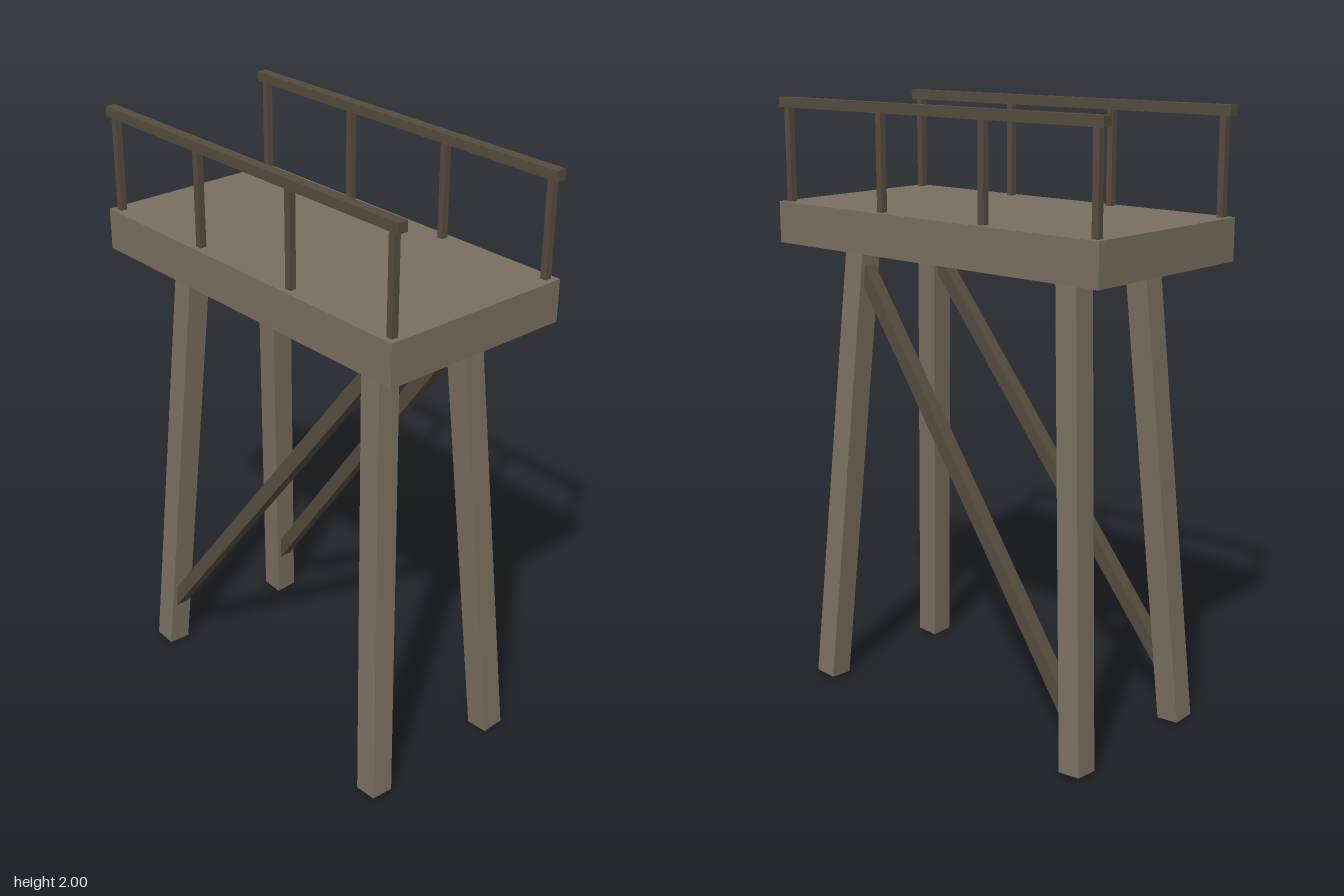
import * as THREE from 'three';

export function createModel() {
  const model = new THREE.Group();
  model.name = 'watchPlatform';

  const wood = new THREE.MeshStandardMaterial({ color: 0x7a7060 });
  wood.name = 'weatheredWood';
  const darkWood = new THREE.MeshStandardMaterial({ color: 0x564c3e });
  darkWood.name = 'darkWood';

  function box(name, material, w, h, d, x, y, z) {
    const mesh = new THREE.Mesh(new THREE.BoxGeometry(w, h, d), material);
    mesh.name = name;
    mesh.position.set(x, y, z);
    model.add(mesh);
    return mesh;
  }

  // Square beam running between two points
  function beam(name, material, size, a, b) {
    const mid = a.clone().add(b).multiplyScalar(0.5);
    const mesh = box(name, material, size, size, a.distanceTo(b), mid.x, mid.y, mid.z);
    mesh.up.set(0, 0, 1);
    mesh.lookAt(b);
  }

  // Centre line of a splayed leg at height y
  const legPoint = (sx, sz, y) =>
    new THREE.Vector3(sx * (0.554 - 0.071 * y), y, sz * (0.257 - 0.059 * y));

  // Deck
  box('deck', wood, 1.33, 0.135, 0.664, 0, 1.5975, 0);

  for (const sz of [1, -1]) {
    const side = sz > 0 ? 'front' : 'back';

    // Splayed legs
    for (const sx of [1, -1]) {
      beam(`${side}${sx > 0 ? 'Left' : 'Right'}Leg`, wood, 0.078,
        legPoint(sx, sz, 0.006), legPoint(sx, sz, 1.56));
    }

    // Diagonal brace from low on the right leg to high on the left leg
    beam(`${side}Brace`, darkWood, 0.046, legPoint(-1, sz, 0.15), legPoint(1, sz, 1.475));

    // Handrail and its posts
    box(`${side}Handrail`, darkWood, 1.33, 0.032, 0.034, 0, 1.984, sz * 0.303);
    for (const x of [-0.635, -0.212, 0.212, 0.635]) {
      box(`${side}RailPost`, darkWood, 0.022, 0.32, 0.022, x, 1.82, sz * 0.303);
    }
  }
  return model;
}
